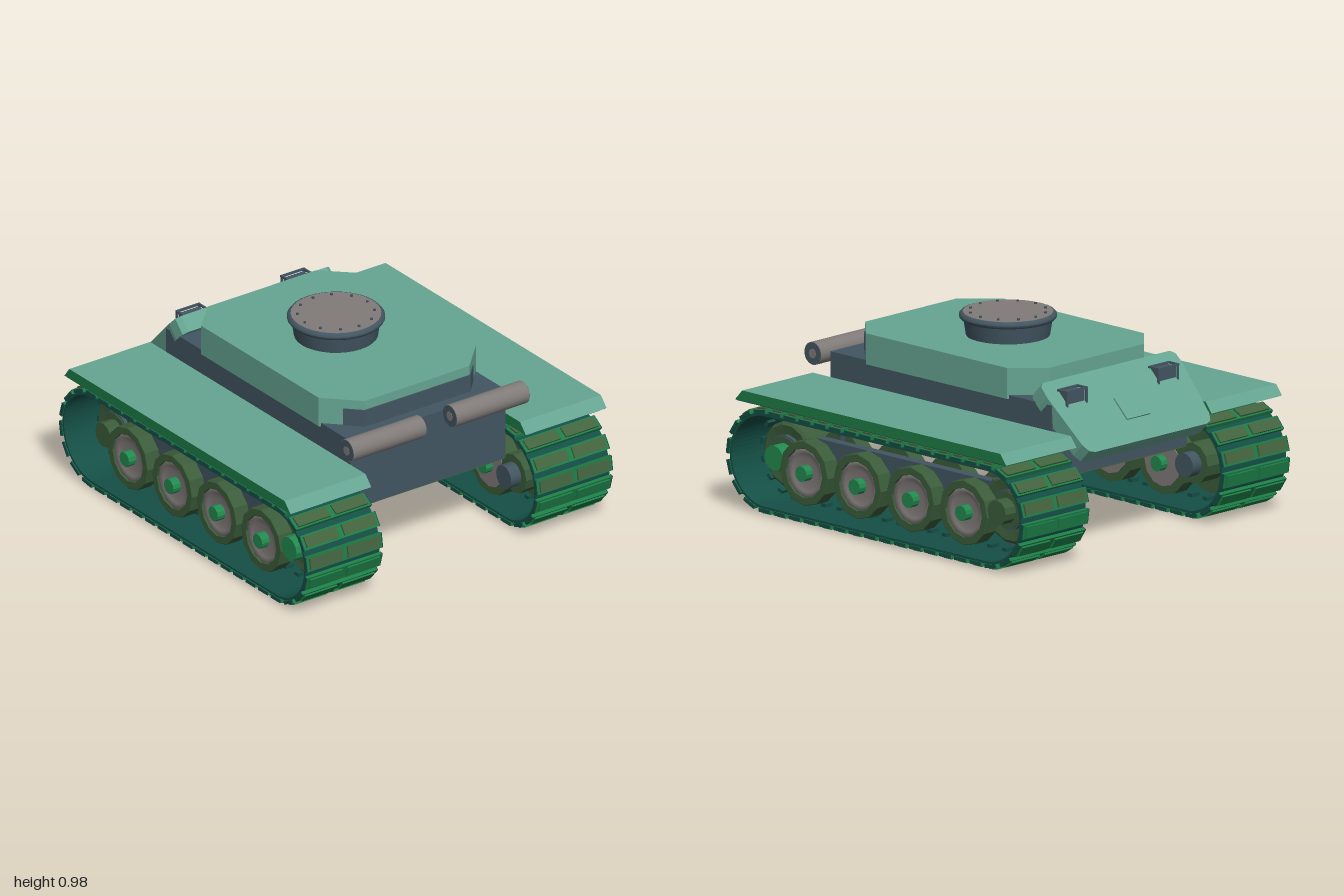
import * as THREE from 'three';
import { mergeGeometries } from 'three/addons/utils/BufferGeometryUtils.js';

const mat = (name, color) => {
  const m = new THREE.MeshStandardMaterial({ color });
  m.name = name;
  return m;
};

export function createModel() {
  const root = new THREE.Group();
  const paleGreen = mat('pale green', 0x66a592);
  const green = mat('green', 0x228a4f);
  const deepGreen = mat('deep green', 0x1c7c46);
  const olive = mat('olive', 0x43643f);
  const darkOlive = mat('dark olive', 0x3b5c3a);
  const slate = mat('slate', 0x425561);
  const grey = mat('grey', 0x807b79);
  const teal = mat('dark teal', 0x144f45);

  const add = (parent, name, geo, material, x = 0, y = 0, z = 0) => {
    const m = new THREE.Mesh(geo, material);
    m.name = name;
    m.position.set(x, y, z);
    parent.add(m);
    return m;
  };
  const box = (w, h, d) => new THREE.BoxGeometry(w, h, d);
  const flat = (geo) => {
    const g = geo.index ? geo.toNonIndexed() : geo;
    g.computeVertexNormals();
    return g;
  };
  const poly = (pts) => new THREE.Shape(pts.map((p) => new THREE.Vector2(p[0], p[1])));
  // Plan outline (x, z) extruded from y0 to y1
  const slab = (pts, y0, y1) =>
    new THREE.ExtrudeGeometry(poly(pts), { depth: y1 - y0, bevelEnabled: false })
      .rotateX(Math.PI / 2).translate(0, y1, 0);
  // Side outline (z, y) extruded across a width centred on x = 0
  const across = (shape, width) =>
    new THREE.ExtrudeGeometry(shape, { depth: width, bevelEnabled: false, curveSegments: 16 })
      .rotateY(-Math.PI / 2).translate(width / 2, 0, 0);
  // Profile (radius, x) turned around the x axis
  const lathe = (pts, sides) =>
    new THREE.LatheGeometry(pts.map((p) => new THREE.Vector2(p[0], p[1])), sides);
  const turned = (pts, sides) => flat(lathe(pts, sides).rotateZ(-Math.PI / 2));
  const rod = (r, len, sides = 16) => new THREE.CylinderGeometry(r, r, len, sides).rotateZ(Math.PI / 2);

  // Hull
  add(root, 'hull', box(0.915, 0.365, 1.475), slate, 0, 0.5405, -0.0025);
  add(root, 'hullFloor', box(0.91, 0.006, 1.47), olive, 0, 0.356, -0.0025);

  // Raised deck with clipped corners
  add(root, 'deck', slab([[-0.31, 0.648], [-0.465, 0.49], [-0.465, -0.45], [-0.32, -0.592],
    [0.32, -0.592], [0.465, -0.45], [0.465, 0.49], [0.31, 0.648]], 0.705, 0.857), paleGreen);
  add(root, 'deckFrontPanel', slab([[-0.385, 0.577], [-0.312, 0.653], [0.312, 0.653], [0.385, 0.577]], 0.7, 0.81), slate);

  // Round hatch with a bolted lid
  add(root, 'hatchCollar', new THREE.CylinderGeometry(0.215, 0.2, 0.095, 32), slate, 0, 0.9, 0);
  add(root, 'hatchRim', lathe([[0.2, 0.935], [0.225, 0.937], [0.234, 0.948], [0.234, 0.957],
    [0.225, 0.968], [0.212, 0.97]], 32), slate);
  add(root, 'hatchLid', new THREE.CylinderGeometry(0.216, 0.216, 0.02, 32), grey, 0, 0.961, 0);
  for (let i = 0; i < 12; i++) {
    const a = (i / 12) * Math.PI * 2;
    add(root, 'lidBolt', new THREE.CylinderGeometry(0.007, 0.007, 0.01, 8), slate, Math.sin(a) * 0.185, 0.974, Math.cos(a) * 0.185);
  }

  // Sloping rear plate: local y runs up the slope, local z runs into the hull
  const plate = new THREE.Group();
  plate.name = 'rearPlate';
  plate.quaternion.setFromRotationMatrix(new THREE.Matrix4().makeBasis(
    new THREE.Vector3(1, 0, 0), new THREE.Vector3(0, 0.701, 0.713), new THREE.Vector3(0, -0.713, 0.701)));
  plate.position.set(0, 0.52, -0.955);
  root.add(plate);
  add(plate, 'slopingPlate', new THREE.ExtrudeGeometry(poly([[-0.38, 0], [0.38, 0], [0.41, 0.012], [0.43, 0.05],
    [0.46, 0.34], [0.455, 0.4], [0.43, 0.42], [-0.43, 0.42], [-0.455, 0.4], [-0.46, 0.34], [-0.43, 0.05], [-0.41, 0.012]]),
  { depth: 0.085, bevelEnabled: false }), paleGreen);
  add(plate, 'accessPanel', box(0.155, 0.125, 0.009), paleGreen, 0, 0.185, -0.004);

  for (const s of [1, -1]) {
    // Exhaust drums
    add(root, 'exhaust', rod(0.056, 0.43, 24), grey, s * 0.305, 0.714, 0.79);
    for (const e of [0.092, 0.518]) {
      add(root, 'exhaustEnd', rod(0.054, 0.008, 24), slate, s * e, 0.714, 0.79);
      add(root, 'exhaustEndCentre', rod(0.024, 0.012, 8), grey, s * e, 0.714, 0.79);
    }
    add(root, 'exhaustBracket', box(0.05, 0.04, 0.06), slate, s * 0.3, 0.7, 0.75);

    // Caged lamps on the rear plate
    const lamp = new THREE.Group();
    lamp.name = 'cagedLamp';
    lamp.position.set(s * 0.31, 0, 0);
    root.add(lamp);
    add(lamp, 'lampBody', box(0.115, 0.06, 0.055), slate, 0, 0.74, -0.73);
    for (const z of [-0.704, -0.765]) add(lamp, 'cageBar', box(0.14, 0.01, 0.01), slate, 0, 0.777, z);
    for (const x of [-0.065, 0.065]) {
      add(lamp, 'cageTop', box(0.01, 0.01, 0.07), slate, x, 0.777, -0.735);
      add(lamp, 'cagePost', box(0.01, 0.085, 0.01), slate, x, 0.74, -0.763);
    }

    // Fender with sloped ends, green side faces and a dark underside
    add(root, 'fender', across(poly([[-0.907, 0.546], [0.9, 0.546], [0.853, 0.597], [-0.868, 0.597]]), 0.478),
      [deepGreen, paleGreen], s * 0.696, 0, 0);
    add(root, 'fenderUnderside', box(0.47, 0.005, 1.79), teal, s * 0.696, 0.5445, 0);
    // Suspension beam between the wheel pairs
    add(root, 'suspensionBeam', box(0.05, 0.135, 1.2), slate, s * 0.665, 0.297, 0);
    for (const z of [0.49, -0.58]) {
      add(root, 'damper', new THREE.CylinderGeometry(0.016, 0.02, 0.12, 10), slate, s * 0.62, 0.385, z).rotation.x = -0.25;
      add(root, 'damperHead', box(0.05, 0.03, 0.04), slate, s * 0.62, 0.43, z - 0.012);
    }
    addTrack(s);

    // Running gear, each wheel built facing +x and turned for the other side
    const wheel = (name, y, z) => {
      const g = new THREE.Group();
      g.name = name;
      g.position.set(0, y, z);
      g.rotation.y = s > 0 ? 0 : Math.PI;
      root.add(g);
      return g;
    };
    for (const z of [0.535, 0.18, -0.175, -0.53]) {
      const w = wheel('roadWheel', 0.23, z);
      add(w, 'tyre', turned([[0.12, 0.76], [0.16, 0.76], [0.16, 0.838], [0.157, 0.84], [0.122, 0.84], [0.119, 0.825]], 12), darkOlive);
      add(w, 'dish', lathe([[0.001, 0.765], [0.12, 0.765], [0.122, 0.832], [0.095, 0.822], [0.07, 0.815], [0.03, 0.815]], 24)
        .rotateZ(-Math.PI / 2), grey);
      add(w, 'hub', flat(rod(0.038, 0.09, 12)), green, 0.815, 0, 0);
      add(w, 'innerWheel', flat(rod(0.16, 0.08, 12)), darkOlive, 0.55, 0, 0);
      add(w, 'innerDish', flat(rod(0.118, 0.006, 12)), grey, 0.508, 0, 0);
      add(w, 'innerHub', flat(rod(0.038, 0.05, 12)), green, 0.49, 0, 0);
      add(w, 'axle', rod(0.04, 0.24), slate, 0.66, 0, 0);
    }
    const ends = [['idler', 0.745, 0.162, green], ['driveSprocket', -0.74, 0.17, darkOlive]];
    for (const [name, z, r, capColour] of ends) {
      const w = wheel(name, 0.265, z);
      add(w, 'wheelRim', turned([[0.001, 0.62], [r, 0.62], [r, 0.73], [r - 0.015, 0.742], [0.1, 0.735], [0.001, 0.735]], 14), darkOlive);
      add(w, 'wheelBoss', flat(rod(0.1, 0.04, 12)), slate, 0.735, 0, 0);
      add(w, 'wheelBossFace', flat(rod(0.092, 0.012, 12)), darkOlive, 0.754, 0, 0);
      add(w, 'wheelCap', flat(rod(0.062, 0.08, 12)), capColour, 0.79, 0, 0);
      add(w, 'innerBoss', flat(rod(0.1, 0.12, 12)), darkOlive, 0.56, 0, 0);
      add(w, 'axle', rod(0.06, 0.1), slate, 0.49, 0, 0);
      if (name === 'driveSprocket') {
        for (let i = 0; i < 13; i++) {
          const a = (i / 13) * Math.PI * 2;
          const t = add(w, 'sprocketTooth', box(0.04, 0.03, 0.022), slate, 0.68, Math.cos(a) * (r + 0.008), Math.sin(a) * (r + 0.008));
          t.rotation.x = a;
        }
      }
    }
  }

  // Track: a thin loop carrying links, two pads per link and inner guide teeth
  function addTrack(s) {
    const cz = 0.738, cy = 0.262, R = 0.234, N = 44;
    const loop = (P, r) => {
      P.absarc(cz, cy, r, -Math.PI / 2, Math.PI / 2, false);
      P.absarc(-cz, cy, r, Math.PI / 2, Math.PI * 1.5, false);
      P.closePath();
      return P;
    };
    const band = loop(new THREE.Shape(), R);
    band.holes.push(loop(new THREE.Path(), R - 0.012));
    const g = new THREE.Group();
    g.name = 'track';
    g.position.x = s * 0.68;
    root.add(g);
    add(g, 'trackBand', across(band, 0.436), teal);

    const straight = 2 * cz, arc = Math.PI * R, total = 2 * (straight + arc);
    const links = [], linkEnds = [], upperPads = [], lowerPads = [], teeth = [];
    for (let i = 0; i < N; i++) {
      // Angle a is measured from straight up toward +z
      const d = (i / N) * total;
      let z, a;
      if (d < straight) { z = -cz + d; a = 0; }
      else if (d < straight + arc) { z = cz; a = (d - straight) / R; }
      else if (d < 2 * straight + arc) { z = cz - (d - straight - arc); a = Math.PI; }
      else { z = -cz; a = Math.PI + (d - 2 * straight - arc) / R; }
      const place = (geo, x, r) => geo.translate(x, r, 0).rotateX(a).translate(0, cy, z);
      // Pads are olive on the upper half of the loop and green below
      const pads = Math.cos(a) > 0 ? upperPads : lowerPads;
      links.push(place(box(0.442, 0.018, 0.074), 0, 0.242));
      for (const x of [-1, 1]) {
        linkEnds.push(place(box(0.005, 0.018, 0.074), x * 0.2225, 0.242));
        pads.push(place(box(0.19, 0.012, 0.056), x * 0.111, 0.254));
      }
      teeth.push(place(box(0.05, 0.018, 0.03), 0, 0.214));
    }
    add(g, 'trackLinks', mergeGeometries(links), deepGreen);
    add(g, 'linkEnds', mergeGeometries(linkEnds), teal);
    add(g, 'upperPads', mergeGeometries(upperPads), olive);
    add(g, 'lowerPads', mergeGeometries(lowerPads), deepGreen);
    add(g, 'guideTeeth', mergeGeometries(teeth), teal);
  }

  return root;
}
